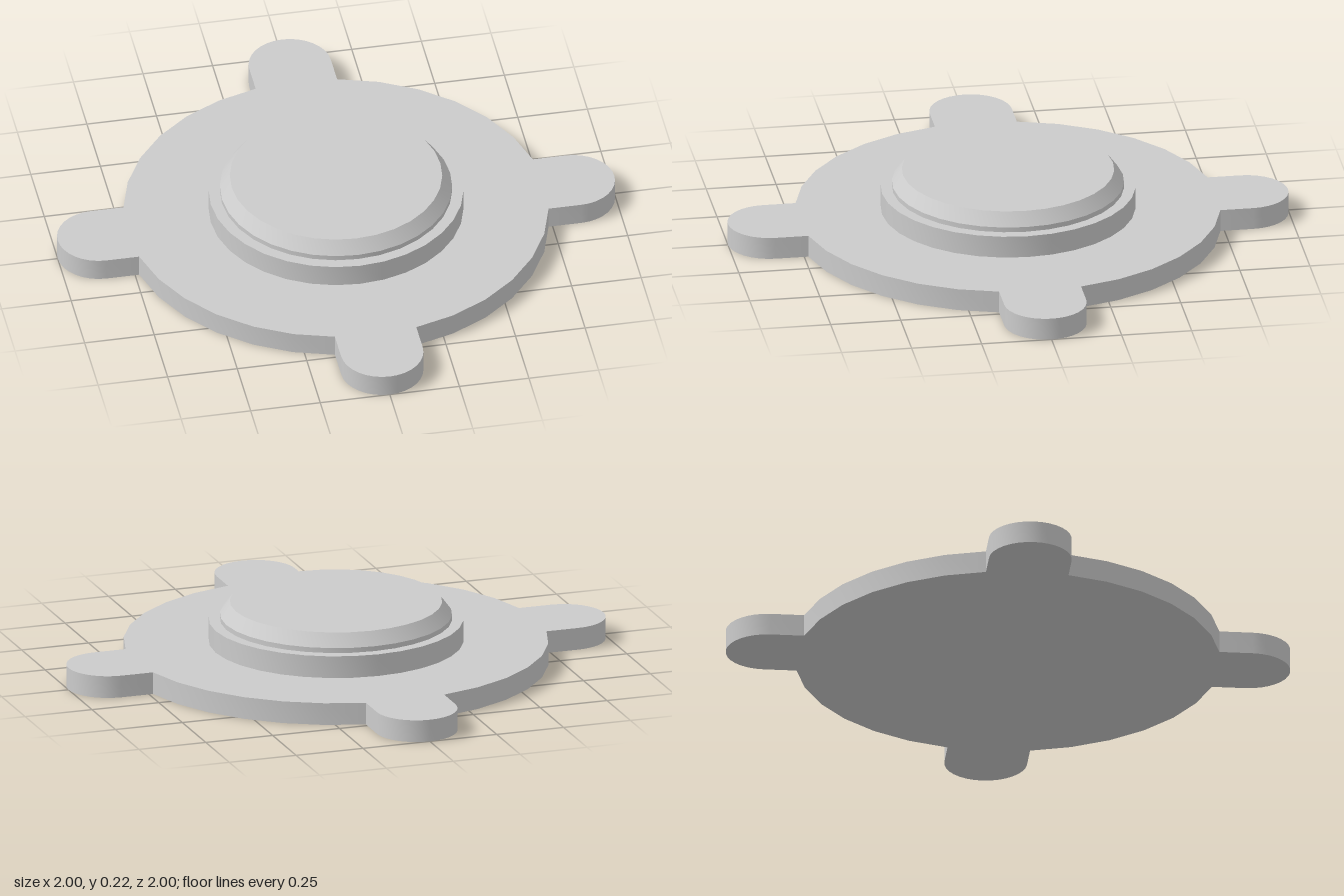
import * as THREE from 'three';
import { toCreasedNormals } from 'three/addons/utils/BufferGeometryUtils.js';

const SIDES = 32, DISC_R = 0.75, PLATE_H = 0.08;
const STEP = (Math.PI * 2) / SIDES;
const TAB_R = DISC_R * Math.sin(STEP); // half width of a tab
const TAB_SEGMENTS = 16;

export function createModel() {
  const model = new THREE.Group();
  const material = new THREE.MeshStandardMaterial({ color: 0xcccccc });
  const add = (name, geometry) => {
    const mesh = new THREE.Mesh(toCreasedNormals(geometry, Math.PI / 6), material);
    mesh.name = name;
    model.add(mesh);
  };

  // Round plate outline with four round-ended tabs, one quarter at a time
  const outline = [];
  const centre = new THREE.Vector2();
  for (let k = 0; k < 4; k++) {
    const turn = (k * Math.PI) / 2;
    const point = (x, y) => outline.push(new THREE.Vector2(x, y).rotateAround(centre, turn));
    // Tab end
    for (let i = 0; i <= TAB_SEGMENTS; i++) {
      const a = -Math.PI / 2 + (Math.PI * i) / TAB_SEGMENTS;
      point(1 - TAB_R + TAB_R * Math.cos(a), TAB_R * Math.sin(a));
    }
    // Disc edge up to the next tab
    for (let i = 1; i < SIDES / 4; i++) {
      point(DISC_R * Math.cos(i * STEP), DISC_R * Math.sin(i * STEP));
    }
  }
  const plate = new THREE.ExtrudeGeometry(new THREE.Shape(outline), {
    depth: PLATE_H,
    bevelEnabled: false,
  });
  plate.rotateX(-Math.PI / 2);
  add('tabbedPlate', plate);

  // Stepped central boss with a chamfered cap
  const turned = (profile) =>
    new THREE.LatheGeometry(profile.map(([r, y]) => new THREE.Vector2(r, y)), SIDES);
  add('bossStep', turned([[0.45, PLATE_H], [0.45, 0.16], [0.41, 0.16]]));
  add('chamferedCap', turned([[0.41, 0.16], [0.41, 0.178], [0.375, 0.225], [0, 0.225]]));

  return model;
}
